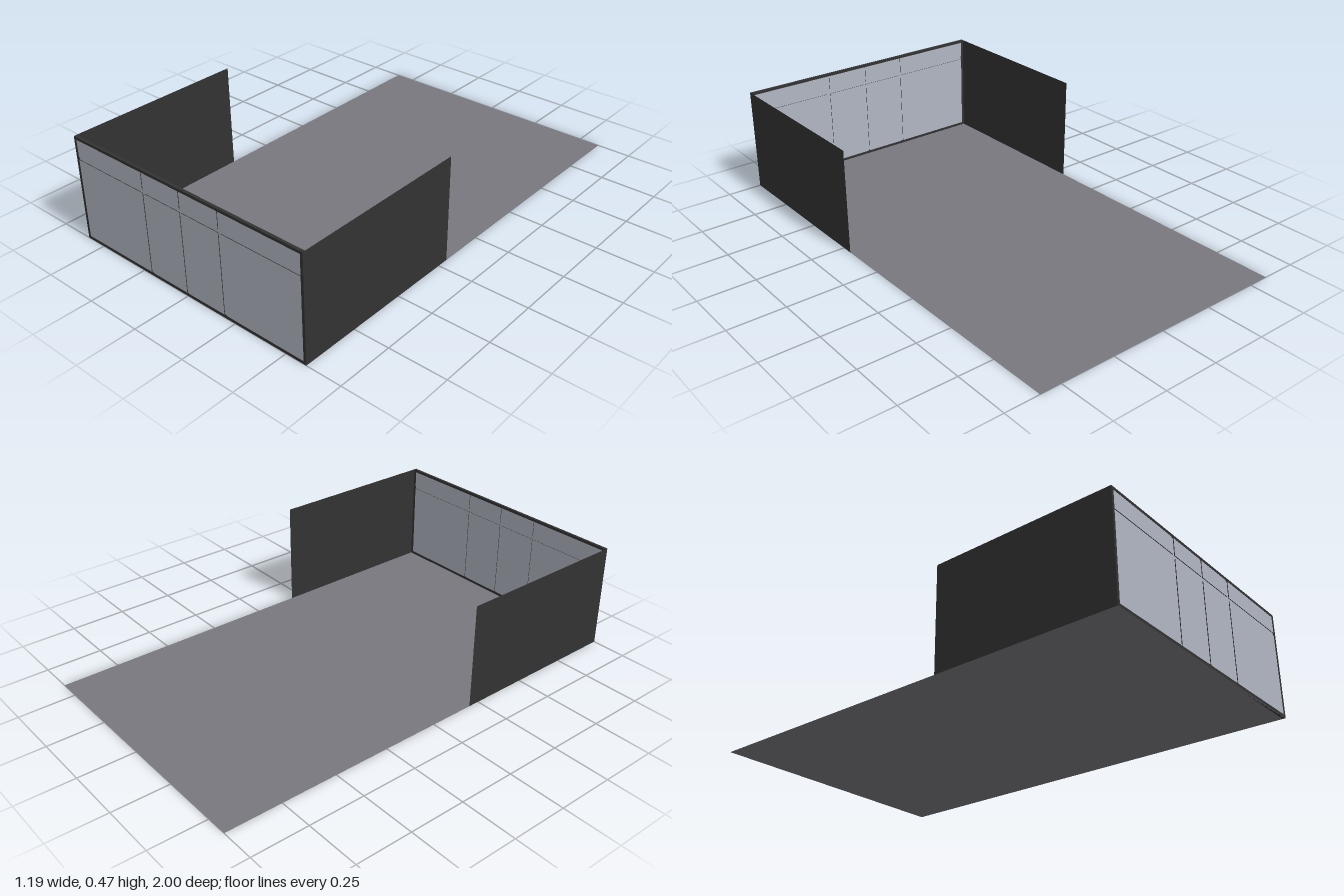
import * as THREE from 'three';

export function createModel() {
  const group = new THREE.Group();
  group.name = 'shopfront';
  const mat = (name, color, side = THREE.FrontSide) => {
    const m = new THREE.MeshStandardMaterial({ color, side });
    m.name = name;
    return m;
  };
  const wallMat = mat('charcoal', 0x333333, THREE.DoubleSide);
  const floorMat = mat('floor grey', 0x77787e, THREE.DoubleSide);
  const glassMat = mat('pale blue grey', 0xb2b6c2);
  // box faces: +x -x +y -y dark, +z -z pale
  const paneMats = [wallMat, wallMat, wallMat, wallMat, glassMat, glassMat];

  const W = 0.595, H = 0.465, B = 0.012;
  const add = (name, geo, material, x, y, z) => {
    const m = new THREE.Mesh(geo, material);
    m.name = name;
    m.position.set(x, y, z);
    group.add(m);
    return m;
  };
  const slab = (name, x0, x1, y0, y1, z0, z1, material) =>
    add(name, new THREE.BoxGeometry(x1 - x0, y1 - y0, z1 - z0), material,
      (x0 + x1) / 2, (y0 + y1) / 2, (z0 + z1) / 2);

  // floor sheet
  add('floor', new THREE.PlaneGeometry(2 * W, 2), floorMat, 0, 0, 0).rotation.x = -Math.PI / 2;

  // side walls
  for (const s of [-1, 1]) {
    add(s > 0 ? 'leftWall' : 'rightWall', new THREE.PlaneGeometry(0.8, H), wallMat,
      s * W, H / 2, 0.6).rotation.y = s * Math.PI / 2;
  }

  // dark border around the front
  slab('bottomFrame', -W, W, 0, B, 0.988, 1, wallMat);
  slab('topFrame', -W, W, H - B, H, 0.988, 1, wallMat);
  slab('rightFrame', -W, -W + B, B, H - B, 0.988, 1, wallMat);
  slab('leftFrame', W - B, W, B, H - B, 0.988, 1, wallMat);

  // panes in four columns and two rows, with narrow gaps between
  const columns = [[-W + B, -0.207], [-0.194, -0.005], [0.005, 0.194], [0.207, W - B]];
  const rows = [[B, 0.364], [0.378, H - B]];
  for (const [x0, x1] of columns)
    for (const [y0, y1] of rows) slab('windowPane', x0, x1, y0, y1, 0.989, 0.999, paneMats);

  // recessed mullions and transom filling the gaps
  for (const [x0, x1] of [[-0.207, -0.194], [-0.005, 0.005], [0.194, 0.207]])
    slab('mullion', x0, x1, B, H - B, 0.992, 0.996, paneMats);
  columns.forEach(([x0, x1]) => slab('transom', x0, x1, 0.364, 0.378, 0.992, 0.996, paneMats));

  return group;
}
